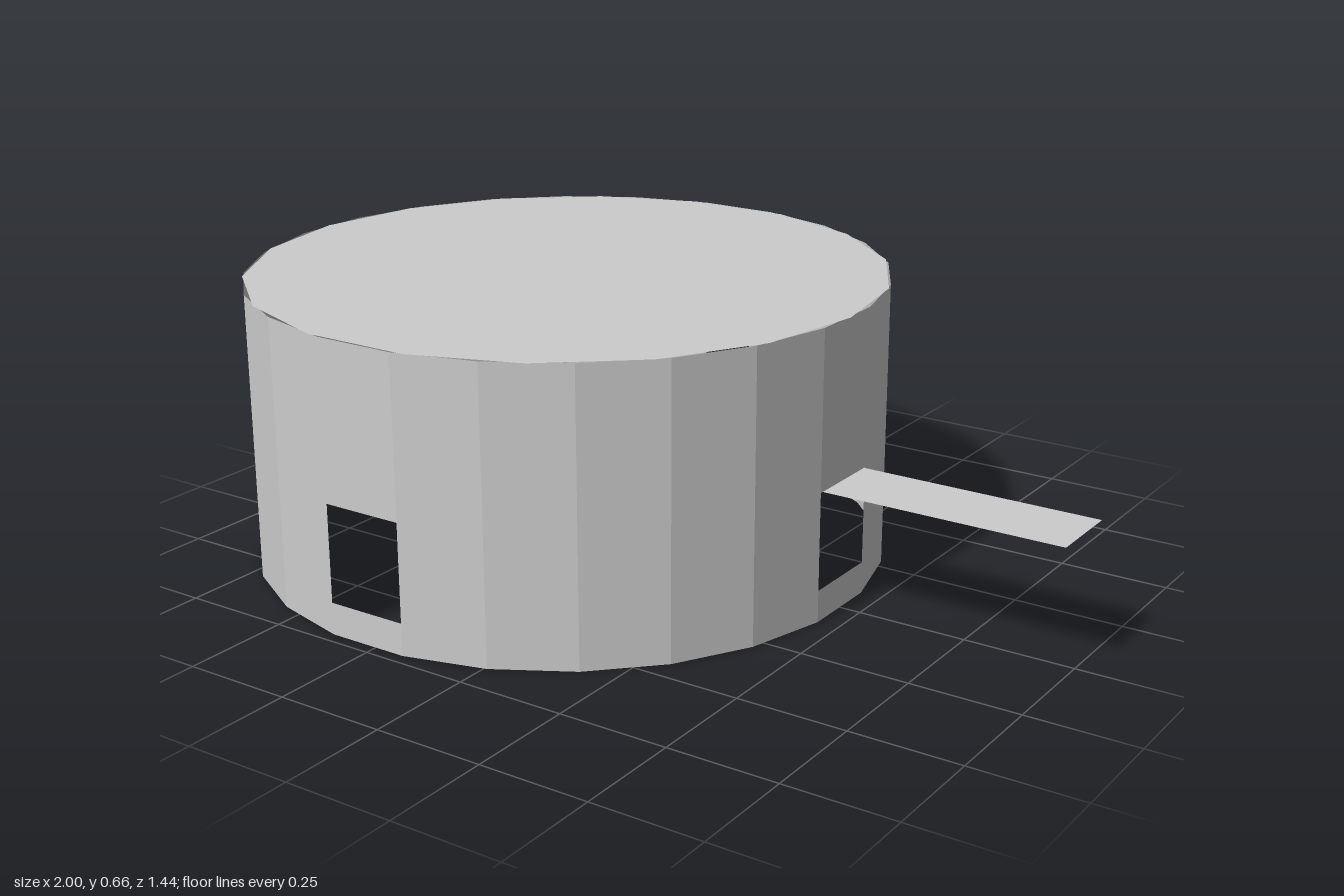
import * as THREE from 'three';

const CX = -0.272, R = 0.728, H = 0.657, SIDES = 24;
const SILL = 0.073, LINTEL = 0.296;

export function createModel() {
  const model = new THREE.Group();
  const grey = new THREE.MeshStandardMaterial({ color: 0xcccccc, side: THREE.DoubleSide });
  grey.name = 'lightGrey';

  function add(name, geometry, parent = model) {
    const mesh = new THREE.Mesh(geometry, grey);
    mesh.name = name;
    parent.add(mesh);
    return mesh;
  }

  // Ring of flat wall panels; every sixth one has a full-width window
  const wall = new THREE.Group();
  wall.name = 'wall';
  wall.position.x = CX;
  model.add(wall);
  const step = (Math.PI * 2) / SIDES;
  const width = 2 * R * Math.sin(step / 2);
  const apothem = R * Math.cos(step / 2);
  for (let i = 0; i < SIDES; i++) {
    const spans = i % 6 === 0 ? [[0, SILL], [LINTEL, H]] : [[0, H]];
    for (const [low, high] of spans) {
      const panel = new THREE.PlaneGeometry(width, high - low);
      panel.translate(0, (low + high) / 2, apothem);
      panel.rotateY(i * step);
      add('wallPanel', panel, wall);
    }
  }

  // Flat roof disc with fewer sides than the wall
  const roof = add('roof', new THREE.CircleGeometry(R, 18).rotateX(-Math.PI / 2));
  roof.position.set(CX, H, 0);

  // Thin awning over the left window
  const inner = CX + apothem;
  const awning = add('awning', new THREE.PlaneGeometry(1 - inner, 0.178).rotateX(-Math.PI / 2));
  awning.position.set((1 + inner) / 2, LINTEL, -0.002);

  return model;
}
